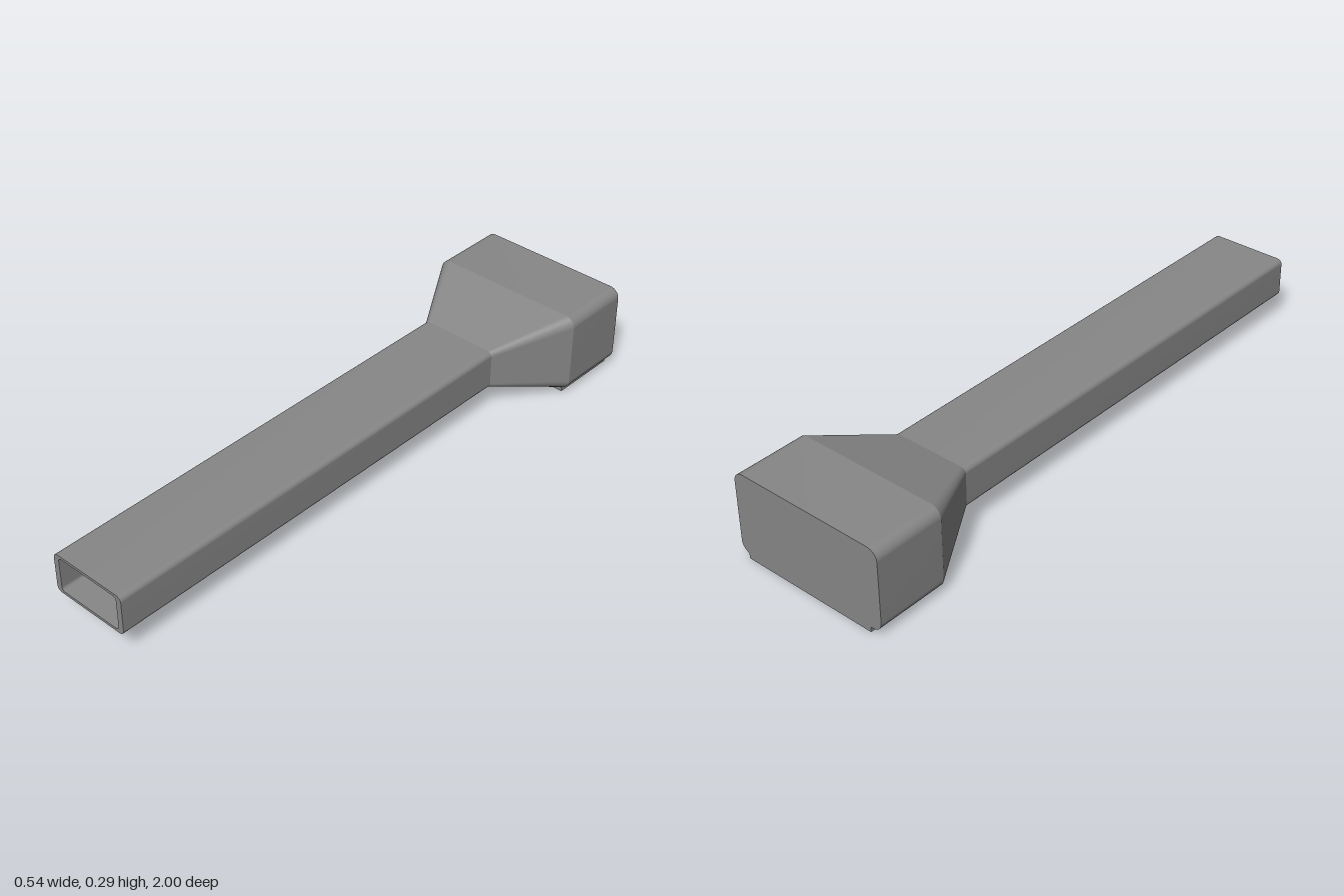
import * as THREE from 'three';

const CENTRE_Y = 0.1518;
const CORNER_STEPS = 8;

// Rounded rectangle, counter-clockwise seen from +z
function ring([halfW, halfH, r, z]) {
  const points = [];
  const corners = [[1, 1], [-1, 1], [-1, -1], [1, -1]];
  corners.forEach(([sx, sy], q) => {
    for (let i = 0; i <= CORNER_STEPS; i++) {
      const a = (q + i / CORNER_STEPS) * Math.PI / 2;
      points.push([
        sx * (halfW - r) + r * Math.cos(a),
        CENTRE_Y + sy * (halfH - r) + r * Math.sin(a),
        z
      ]);
    }
  });
  return points;
}

// Surface joining two sections; each band keeps its own normals
function band(from, to) {
  const a = ring(from), b = ring(to), n = a.length;
  const index = [];
  for (let i = 0; i < n; i++) {
    const j = (i + 1) % n;
    index.push(i, n + i, n + j, i, n + j, j);
  }
  const geometry = new THREE.BufferGeometry();
  geometry.setAttribute('position', new THREE.Float32BufferAttribute([...a, ...b].flat(), 3));
  geometry.setIndex(index);
  geometry.computeVertexNormals();
  return geometry;
}

export function createModel() {
  const model = new THREE.Group();
  const material = new THREE.MeshStandardMaterial({ color: 0x878787 });
  const add = (name, geometry) => {
    const mesh = new THREE.Mesh(geometry, material);
    mesh.name = name;
    model.add(mesh);
    return mesh;
  };

  // Sections: half width, half height, corner radius, z
  const tubeFront = [0.1345, 0.067, 0.017, 1];
  const tubeEnd = [0.1345, 0.067, 0.017, -0.527];
  const headFront = [0.269, 0.1345, 0.034, -0.765];
  const headBack = [0.269, 0.1345, 0.034, -1];
  const boreFront = [0.115, 0.058, 0.012, 1];
  const boreEnd = [0.115, 0.058, 0.012, -0.527];
  const chamberFront = [0.245, 0.12, 0.03, -0.765];
  const chamberBack = [0.245, 0.12, 0.03, -0.98];

  // Outer shell
  add('tubeRim', band(boreFront, tubeFront));
  add('tube', band(tubeFront, tubeEnd));
  add('flare', band(tubeEnd, headFront));
  add('head', band(headFront, headBack));
  add('headBackWall', band(headBack, [0, 0, 0, -1]));

  // Hollow inside
  add('chamberBackWall', band([0, 0, 0, -0.98], chamberBack));
  add('chamber', band(chamberBack, chamberFront));
  add('flareInside', band(chamberFront, boreEnd));
  add('tubeInside', band(boreEnd, boreFront));

  // Slotted plate under the head, drawn flat and laid down
  const rect = (Type, x, hw, hd) => new Type([
    new THREE.Vector2(x - hw, -hd), new THREE.Vector2(x + hw, -hd),
    new THREE.Vector2(x + hw, hd), new THREE.Vector2(x - hw, hd)
  ]);
  const plate = rect(THREE.Shape, 0, 0.2355, 0.1175);
  for (let i = -3; i <= 3; i++) {
    plate.holes.push(rect(THREE.Path, i * 0.061, 0.012, 0.075));
  }
  const grille = add('slottedPlate', new THREE.ExtrudeGeometry(plate, { depth: 0.019, bevelEnabled: false }));
  grille.rotation.x = -Math.PI / 2;
  grille.position.set(0.007, 0, -0.8825);

  return model;
}
